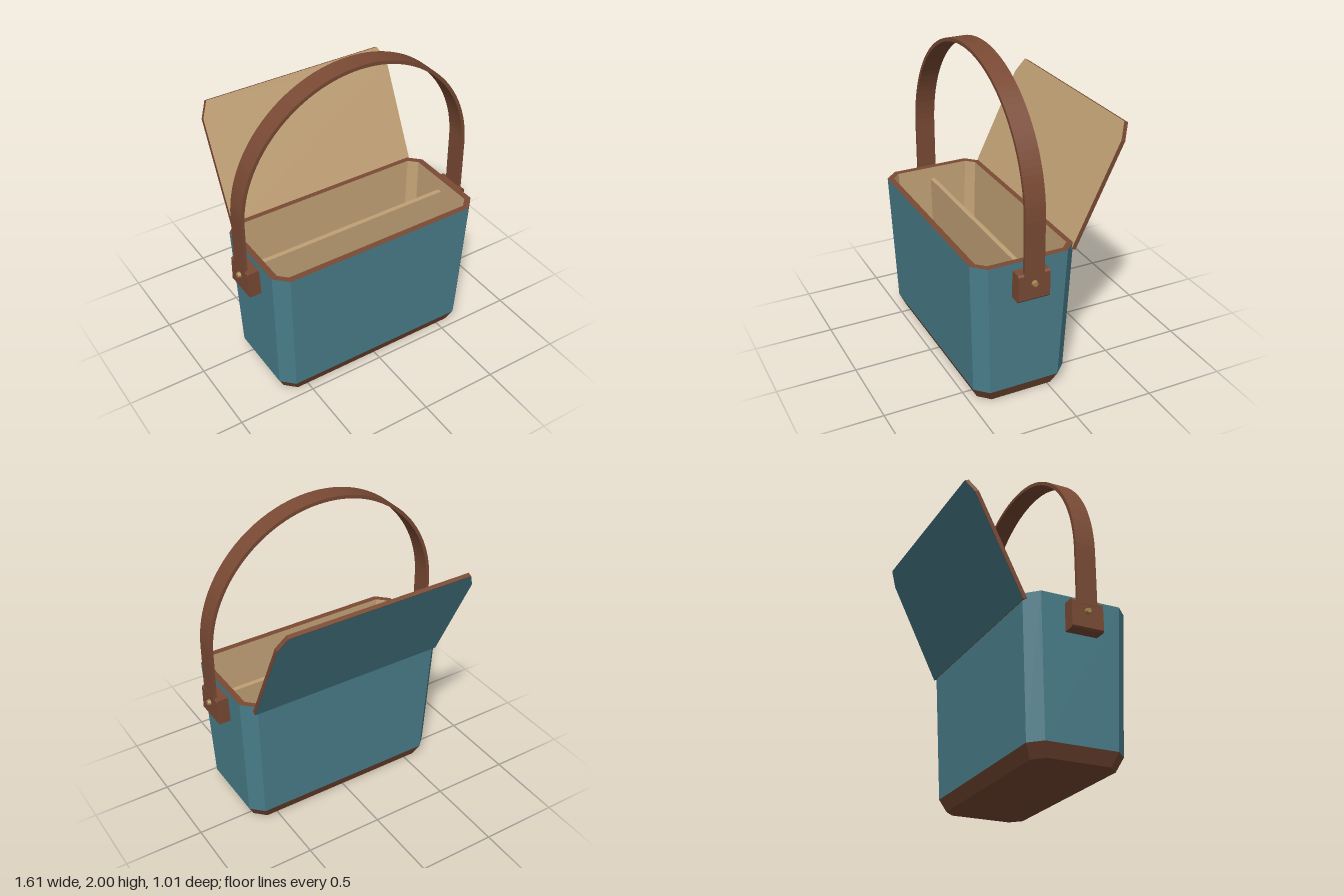
import * as THREE from 'three';

const CZ = 0.175; // centre of the tub along z
const mat = (color, side = THREE.FrontSide) =>
  new THREE.MeshStandardMaterial({ color, flatShading: true, side });

// Chamfered rectangle at height y, counter-clockwise seen from above
function ring([hx, hz, c, y]) {
  return [
    [hx, hz - c], [hx, c - hz], [hx - c, -hz], [c - hx, -hz],
    [-hx, c - hz], [-hx, hz - c], [c - hx, hz], [hx - c, hz],
  ].map(([x, z]) => [x, y, z + CZ]);
}

// Joins successive rings with quads; rising rings face outwards.
// cap closes the 'first' or 'last' ring.
function loft(sections, cap) {
  const rings = sections.map(ring);
  const pos = [];
  const tri = (...p) => p.forEach((v) => pos.push(...v));
  for (let r = 0; r < rings.length - 1; r++) {
    const a = rings[r], b = rings[r + 1];
    for (let i = 0; i < 8; i++) {
      const j = (i + 1) % 8;
      tri(a[i], a[j], b[j]);
      tri(a[i], b[j], b[i]);
    }
  }
  const first = rings[0], last = rings[rings.length - 1];
  for (let i = 1; i < 7; i++) {
    if (cap === 'first') tri(first[0], first[i + 1], first[i]);
    if (cap === 'last') tri(last[0], last[i], last[i + 1]);
  }
  const g = new THREE.BufferGeometry();
  g.setAttribute('position', new THREE.Float32BufferAttribute(pos, 3));
  g.computeVertexNormals();
  return g;
}

function polygon(points) {
  return new THREE.Shape(points.map(([x, y]) => new THREE.Vector2(x, y)));
}

export function createModel() {
  const model = new THREE.Group();
  const teal = mat(0x4a7f8c), brown = mat(0x7a4a34), tan = mat(0xc0a075), brass = mat(0xa5854c);
  const add = (name, geometry, material, parent = model) => {
    const mesh = new THREE.Mesh(geometry, material);
    mesh.name = name;
    parent.add(mesh);
    return mesh;
  };

  // Tub: base, outer walls, rim and lining
  const base = [0.637, 0.263, 0.066, 0], foot = [0.677, 0.3, 0.075, 0.08];
  const top = [0.712, 0.329, 0.078, 0.94];
  const mouth = [0.672, 0.29, 0.05, 0.94], floor = [0.627, 0.243, 0.058, 0.08];
  add('base', loft([base, foot], 'first'), brown);
  add('outerWalls', loft([foot, top]), teal);
  add('rim', loft([top, mouth]), brown);
  add('lining', loft([mouth, floor], 'last'), tan);

  // Lengthwise divider, tapered like the lining
  const divider = new THREE.ExtrudeGeometry(
    polygon([[-0.63, 0.07], [0.63, 0.07], [0.668, 0.86], [-0.668, 0.86]]),
    { depth: 0.03, bevelEnabled: false });
  add('divider', divider, tan).position.z = CZ - 0.015;

  // Open lid, leaning back from its hinge line
  const lid = new THREE.Group();
  lid.name = 'lid';
  lid.position.set(0, 0.9, -0.146);
  lid.rotation.x = -0.449;
  model.add(lid);
  const L = 0.79, T = 0.026;
  const lidShape = polygon([[-0.655, 0], [0.655, 0], [0.655, L - 0.1],
    [0.607, L], [-0.607, L], [-0.655, L - 0.1]]);
  add('lidCore', new THREE.ExtrudeGeometry(lidShape, { depth: T, bevelEnabled: false }), brown, lid)
    .position.z = -T / 2;
  add('lidLining', new THREE.ShapeGeometry(lidShape), tan, lid).position.z = T / 2 + 0.002;
  const outside = add('lidOutside', new THREE.ShapeGeometry(lidShape), teal, lid);
  outside.rotation.y = Math.PI;
  outside.position.z = -T / 2 - 0.002;

  // Arched strap handle
  const R = 0.787, r = 0.765, cy = 1.213, low = 0.87, W = 0.125;
  const strap = new THREE.Shape();
  strap.moveTo(R, low);
  strap.lineTo(R, cy);
  strap.absarc(0, cy, R, 0, Math.PI, false);
  strap.lineTo(-R, low);
  strap.lineTo(-r, low);
  strap.lineTo(-r, cy);
  strap.absarc(0, cy, r, Math.PI, 0, true);
  strap.lineTo(r, low);
  add('handle', new THREE.ExtrudeGeometry(strap, { depth: W, bevelEnabled: false, curveSegments: 28 }), brown)
    .position.z = CZ - W / 2;

  // Handle mounts and their rivets on both sides
  for (const s of [1, -1]) {
    const side = new THREE.Group();
    side.name = s > 0 ? 'leftMount' : 'rightMount';
    side.position.z = CZ;
    side.rotation.y = s > 0 ? 0 : Math.PI;
    model.add(side);
    const block = polygon([[0.68, 0.72], [0.775, 0.72], [0.785, 0.731], [0.785, 0.885],
      [0.775, 0.895], [0.68, 0.895]]);
    add('mountBlock', new THREE.ExtrudeGeometry(block, { depth: 0.2, bevelEnabled: false }), brown, side)
      .position.z = -0.1;
    const rivet = add('rivet', new THREE.CylinderGeometry(0.015, 0.022, 0.03, 12), brass, side);
    rivet.rotation.z = -Math.PI / 2;
    rivet.position.set(0.788, 0.83, 0);
  }
  return model;
}
